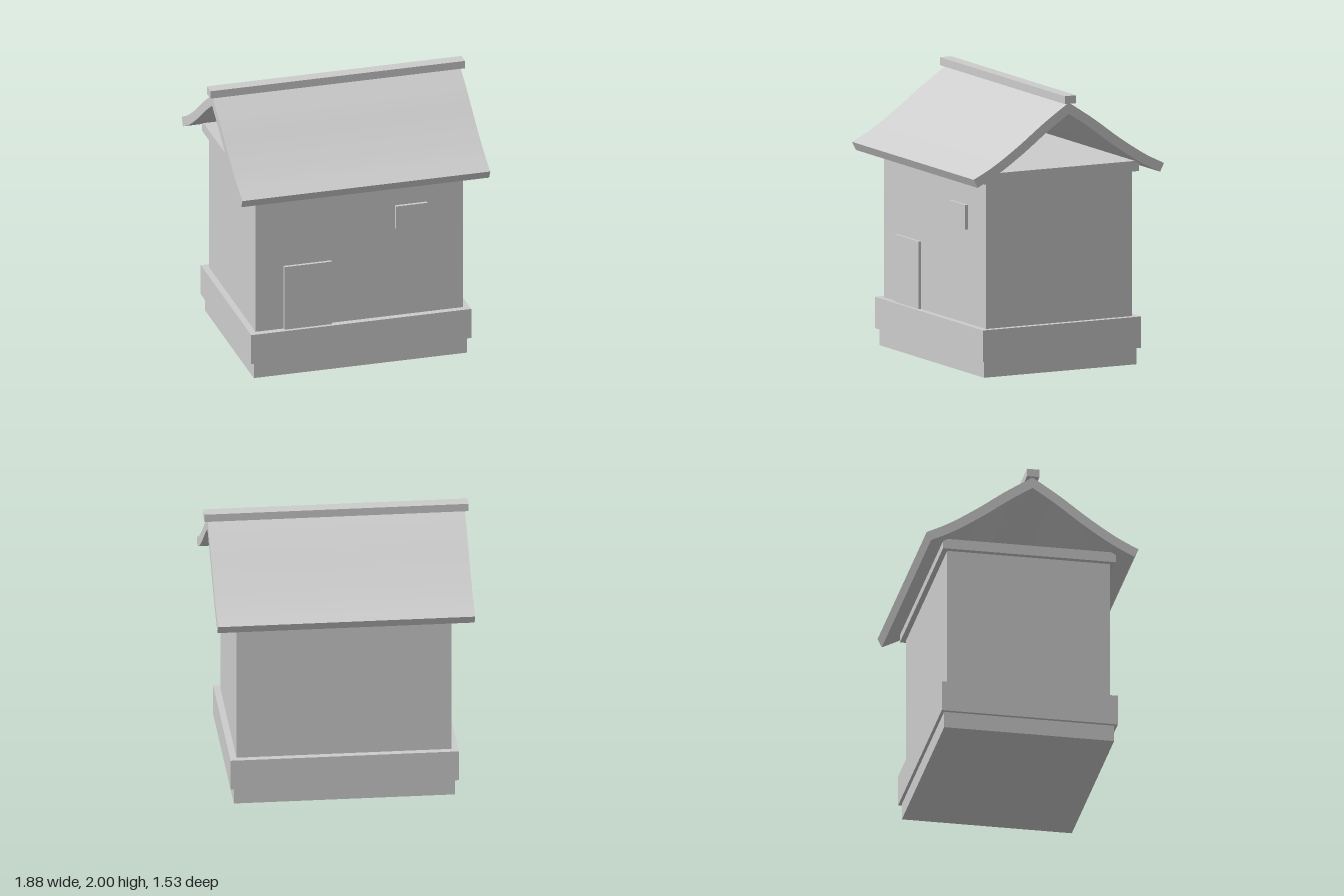
import * as THREE from 'three';
import { toCreasedNormals } from 'three/addons/utils/BufferGeometryUtils.js';

export function createModel() {
  const house = new THREE.Group();
  house.name = 'house';
  const plaster = new THREE.MeshStandardMaterial({ color: 0xcccccc });
  plaster.name = 'light grey';

  const add = (name, geometry) => {
    const mesh = new THREE.Mesh(geometry, plaster);
    mesh.name = name;
    house.add(mesh);
  };

  // Box given by its limits on each axis
  const box = (name, [x0, x1], [y0, y1], [z0, z1]) => {
    const g = new THREE.BoxGeometry(x1 - x0, y1 - y0, z1 - z0);
    g.translate((x0 + x1) / 2, (y0 + y1) / 2, (z0 + z1) / 2);
    add(name, g);
  };

  // Stepped base, walls and the plate under the roof
  box('footing', [-0.787, 0.787], [0, 0.12], [-0.613, 0.613]);
  box('plinth', [-0.812, 0.812], [0.12, 0.345], [-0.635, 0.635]);
  box('walls', [-0.766, 0.766], [0.345, 1.39], [-0.587, 0.587]);
  box('wallPlate', [-0.805, 0.805], [1.39, 1.465], [-0.624, 0.624]);

  // Front door and window panels
  box('door', [-0.56, -0.207], [0.345, 0.83], [0.587, 0.61]);
  box('window', [0.265, 0.495], [1.02, 1.197], [0.587, 0.61]);

  // Roof: one curved slope, offset inwards for thickness, mirrored and extruded
  const thickness = 0.068;
  const slope = new THREE.SplineCurve([
    [0, 1.947], [0.2, 1.815], [0.4, 1.668], [0.6, 1.537], [0.764, 1.453],
  ].map(([z, y]) => new THREE.Vector2(z, y)));
  const outer = [], inner = [];
  for (let i = 0; i <= 24; i++) {
    const p = slope.getPoint(i / 24), t = slope.getTangent(i / 24);
    outer.push(p);
    const q = new THREE.Vector2(p.x + t.y * thickness, p.y - t.x * thickness);
    if (q.x > 0.01) inner.push(q);
  }
  const mirror = (points) => points.map((p) => new THREE.Vector2(-p.x, p.y));
  const profile = [
    ...mirror(outer).reverse(),
    ...outer.slice(1),
    ...inner.slice().reverse(),
    new THREE.Vector2(0, 1.866),
    ...mirror(inner),
  ];
  const roof = new THREE.ExtrudeGeometry(new THREE.Shape(profile), { depth: 1.83, bevelEnabled: false });
  roof.translate(0, 0, -0.915).rotateY(-Math.PI / 2);
  add('roof', toCreasedNormals(roof, 0.4));

  // Ridge beam along the top
  box('ridge', [-0.94, 0.94], [1.943, 2], [-0.045, 0.045]);

  return house;
}
